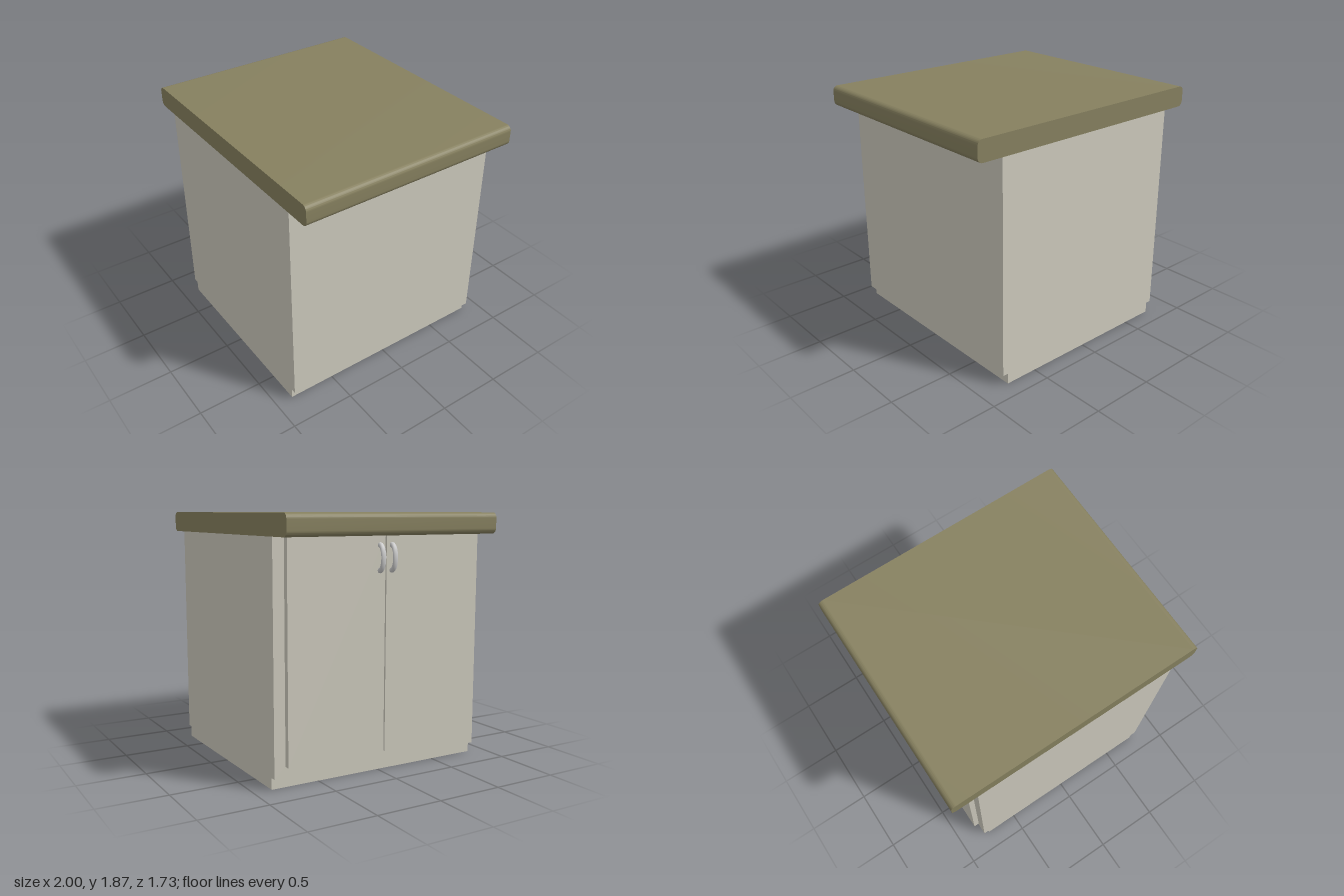
import * as THREE from 'three';
import { toCreasedNormals } from 'three/addons/utils/BufferGeometryUtils.js';

const DEPTH = 1.73;
const material = (color) => new THREE.MeshStandardMaterial({ color });
const bodyMat = material(0xccc9bc);
const topMat = material(0x86805f);
const handleMat = material(0xcccccc);

function addMesh(parent, name, geometry, mat, x = 0, y = 0, z = 0) {
  const mesh = new THREE.Mesh(geometry, mat);
  mesh.name = name;
  mesh.position.set(x, y, z);
  parent.add(mesh);
  return mesh;
}

// Extrudes a front profile over the full depth, centred on z
function extrudeDepth(shape) {
  const geometry = new THREE.ExtrudeGeometry(shape, { depth: DEPTH, bevelEnabled: false, curveSegments: 8 });
  geometry.translate(0, 0, -DEPTH / 2);
  return toCreasedNormals(geometry, Math.PI / 6);
}

// Slab profile with rounded corners
function roundedProfile(x0, y0, x1, y1, r) {
  const s = new THREE.Shape();
  s.absarc(x1 - r, y0 + r, r, -Math.PI / 2, 0);
  s.absarc(x1 - r, y1 - r, r, 0, Math.PI / 2);
  s.absarc(x0 + r, y1 - r, r, Math.PI / 2, Math.PI);
  s.absarc(x0 + r, y0 + r, r, Math.PI, Math.PI * 1.5);
  s.closePath();
  return s;
}

export function createModel() {
  const group = new THREE.Group();
  group.name = 'baseCabinet';

  // Carcass with a recessed toe kick on both long sides
  const carcass = new THREE.Shape([
    [-0.757, 0], [0.757, 0], [0.757, 0.083], [0.8, 0.083],
    [0.8, 1.715], [-0.8, 1.715], [-0.8, 0.083], [-0.757, 0.083],
  ].map(([x, y]) => new THREE.Vector2(x, y)));
  addMesh(group, 'carcass', extrudeDepth(carcass), bodyMat);

  // Countertop
  addMesh(group, 'countertop', extrudeDepth(roundedProfile(-1, 1.715, 1, 1.87, 0.04)), topMat);

  // Pair of doors with flattened half-ring handles on the -x side
  const doorWidth = 0.775, gap = 0.01, doorBottom = 0.16, doorTop = 1.714;
  const doorGeo = new THREE.BoxGeometry(0.042, doorTop - doorBottom, doorWidth);
  const handleGeo = new THREE.TorusGeometry(0.088, 0.02, 12, 24, Math.PI);
  handleGeo.rotateZ(Math.PI / 2).scale(0.5, 1, 1);
  for (const side of [-1, 1]) {
    const name = side > 0 ? 'front' : 'back';
    addMesh(group, name + 'Door', doorGeo, bodyMat,
      -0.821, (doorTop + doorBottom) / 2, side * (gap + doorWidth) / 2);
    addMesh(group, name + 'Handle', handleGeo, handleMat, -0.842, 1.558, side * 0.05);
  }
  return group;
}
